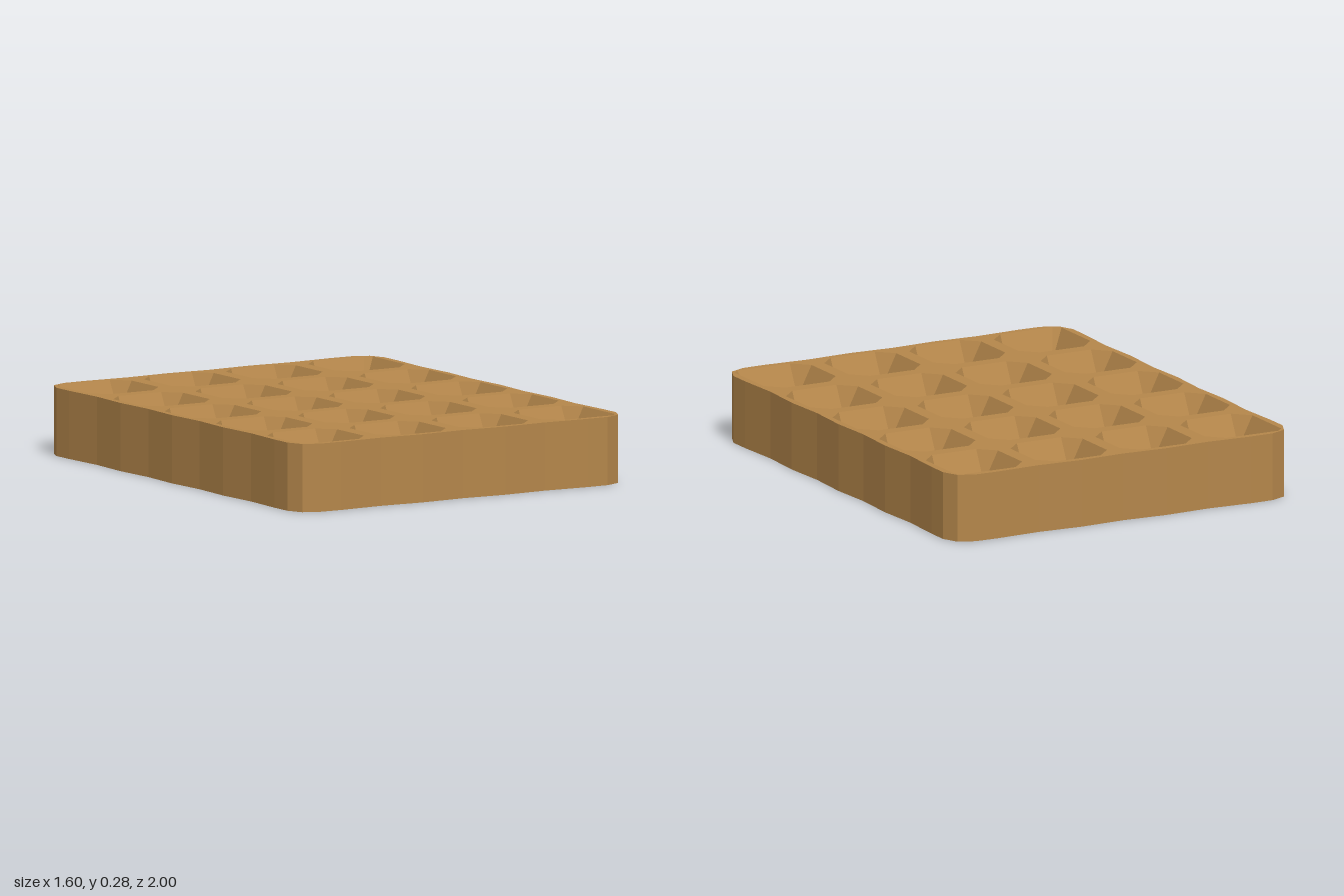
import * as THREE from 'three';

const HEIGHT = 0.285, HALF = HEIGHT / 2;
const DEPTH = 0.13;              // depth of each pocket
const RIM = 0.17, FLOOR = 0.104; // half widths of pocket opening and floor
const COLS = [-0.6, -0.2, 0.2, 0.6];
const ROWS = [-0.8, -0.4, 0, 0.4, 0.8];
const CORNERS = [[1, 1], [-1, 1], [-1, -1], [1, -1]];

function flatGeometry(triangles) {
  const g = new THREE.BufferGeometry();
  g.setAttribute('position', new THREE.Float32BufferAttribute(triangles.flat(2), 3));
  g.computeVertexNormals();
  return g;
}

// Gently wavy outline with cut corners, as [x, z] points
function outlinePoints() {
  const wave = (t, phase) => 0.005 * Math.cos((t - phase) * Math.PI * 5);
  const quarter = [];
  for (let z = 0; z < 0.85; z += 0.1) quarter.push([0.795 + wave(z, 0), z]);
  quarter.push([0.8, 0.9], [0.77, 0.968]);
  for (let i = 7; i >= 0; i--) quarter.push([i / 10, 0.994 + wave(i / 10, 0.2) + (i === 7 ? 0.003 : 0)]);
  const half = [...quarter, ...quarter.slice(0, -1).reverse().map(([x, z]) => [-x, z])];
  return [...half, ...half.slice(1, -1).reverse().map(([x, z]) => [x, -z])];
}

// Eight-sided opening; the outermost pockets reach further into their corner
function rimPoints(cx, cz) {
  return CORNERS.flatMap(([sx, sz], k) => {
    const outer = cx * sx > 0.5 && cz * sz > 0.7;
    const c = outer ? 0.143 : FLOOR;
    const a = [cx + sx * RIM, cz + sz * c], b = [cx + sx * c, cz + sz * RIM];
    return k % 2 ? [b, a] : [a, b];
  });
}

// Sloped walls, triangular corners and square floor
function pocketTriangles(cx, cz) {
  const r = rimPoints(cx, cz).map(([x, z]) => [x, HALF, z]);
  const f = CORNERS.map(([sx, sz]) => [cx + sx * FLOOR, HALF - DEPTH, cz + sz * FLOOR]);
  const tris = [[f[0], f[3], f[2]], [f[0], f[2], f[1]]];
  for (let k = 0; k < 4; k++) {
    const n = (k + 1) % 4, a = r[2 * k + 1], b = r[(2 * k + 2) % 8];
    tris.push([a, r[2 * k], f[k]], [a, f[k], f[n]], [a, f[n], b]);
  }
  return tris;
}

export function createModel() {
  const model = new THREE.Group();
  model.name = 'waffle';
  const golden = new THREE.MeshStandardMaterial({ color: 0xb5874b });
  golden.name = 'golden brown';
  const outline = outlinePoints();

  // Ribbed face with openings
  const shape = new THREE.Shape(outline.map(([x, z]) => new THREE.Vector2(x, -z)));
  const pockets = [];
  for (const x of COLS) for (const z of ROWS) {
    shape.holes.push(new THREE.Path(rimPoints(x, z).map(([px, pz]) => new THREE.Vector2(px, -pz))));
    pockets.push(...pocketTriangles(x, z));
  }
  const ribGeometry = new THREE.ShapeGeometry(shape);
  ribGeometry.rotateX(-Math.PI / 2).translate(0, HALF, 0);
  const pocketGeometry = flatGeometry(pockets);

  // The same face on top and, turned over, below
  for (const side of ['top', 'bottom']) {
    const face = new THREE.Group();
    face.name = side + 'Face';
    const ribs = new THREE.Mesh(ribGeometry, golden);
    ribs.name = side + 'Ribs';
    const pits = new THREE.Mesh(pocketGeometry, golden);
    pits.name = side + 'Pockets';
    face.add(ribs, pits);
    face.position.y = HALF;
    if (side === 'bottom') face.rotation.x = Math.PI;
    model.add(face);
  }

  // Upright outer edge
  const edge = outline.flatMap(([x, z], i) => {
    const [u, w] = outline[(i + 1) % outline.length];
    const a = [x, 0, z], b = [u, 0, w], c = [u, HEIGHT, w], d = [x, HEIGHT, z];
    return [[a, c, b], [a, d, c]];
  });
  const rimWall = new THREE.Mesh(flatGeometry(edge), golden);
  rimWall.name = 'outerEdge';
  model.add(rimWall);
  return model;
}
